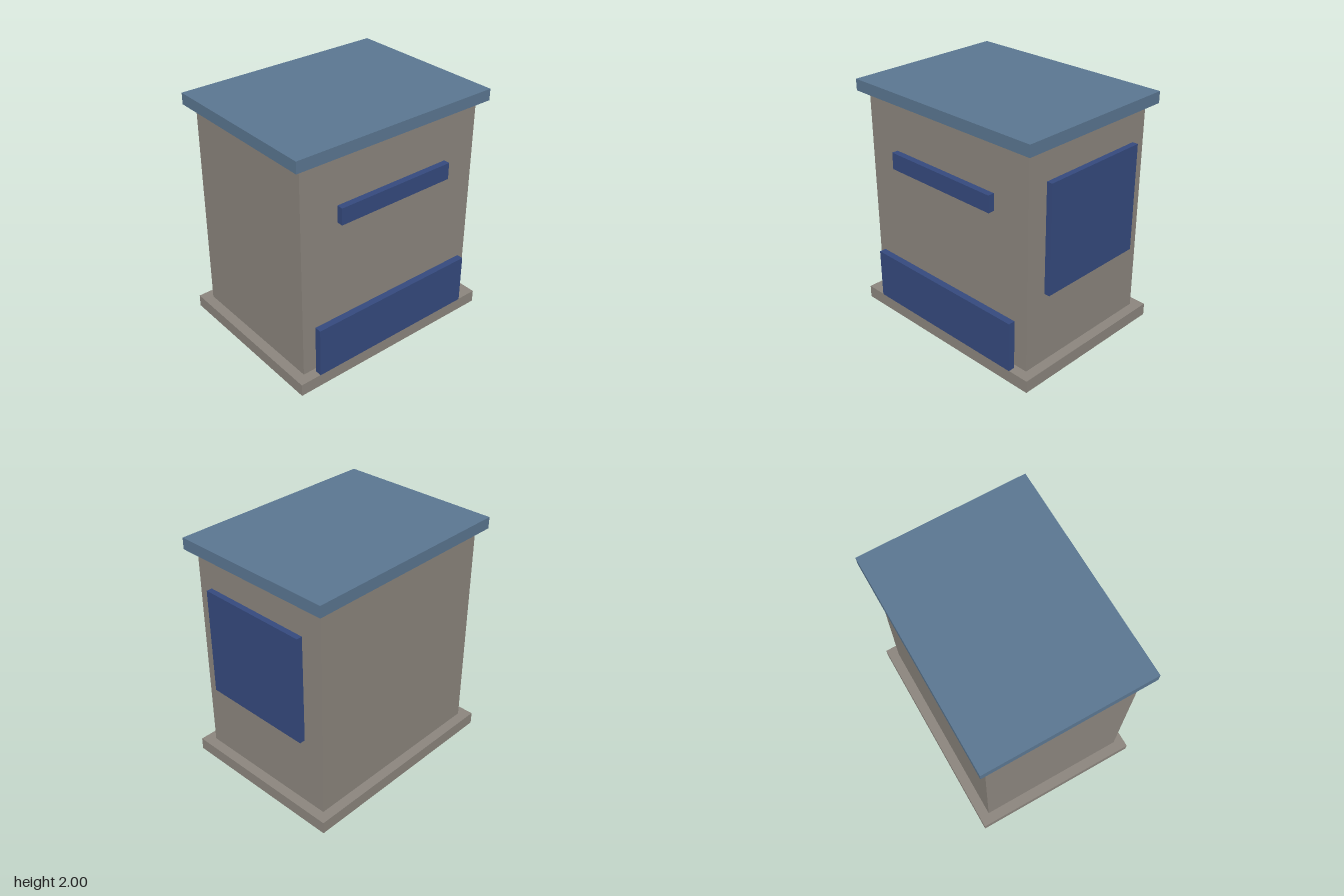
import * as THREE from 'three';

const stone = new THREE.MeshStandardMaterial({ name: 'warm grey', color: 0x8c867e });
const roofBlue = new THREE.MeshStandardMaterial({ name: 'slate blue', color: 0x5b7792 });
const navy = new THREE.MeshStandardMaterial({ name: 'navy blue', color: 0x354a7e });

// Box spanning the given ranges along x, y and z
function block(name, material, [x0, x1], [y0, y1], [z0, z1]) {
  const mesh = new THREE.Mesh(new THREE.BoxGeometry(x1 - x0, y1 - y0, z1 - z0), material);
  mesh.position.set((x0 + x1) / 2, (y0 + y1) / 2, (z0 + z1) / 2);
  mesh.name = name;
  return mesh;
}

export function createModel() {
  const kiosk = new THREE.Group();
  kiosk.name = 'kiosk';
  kiosk.add(
    // Main structure
    block('base', stone, [-0.935, 0.935], [0, 0.105], [-0.725, 0.725]),
    block('body', stone, [-0.85, 0.85], [0.105, 1.905], [-0.64, 0.64]),
    block('roof', roofBlue, [-0.923, 0.923], [1.905, 2], [-0.71, 0.71]),
    // Panels standing just clear of the walls
    block('lowerFrontPanel', navy, [-0.755, 0.755], [0.105, 0.53], [0.67, 0.727]),
    block('upperFrontBar', navy, [-0.53, 0.53], [1.355, 1.495], [0.652, 0.706]),
    block('sidePanel', navy, [0.873, 0.921], [0.735, 1.642], [-0.48, 0.48]),
  );
  return kiosk;
}
